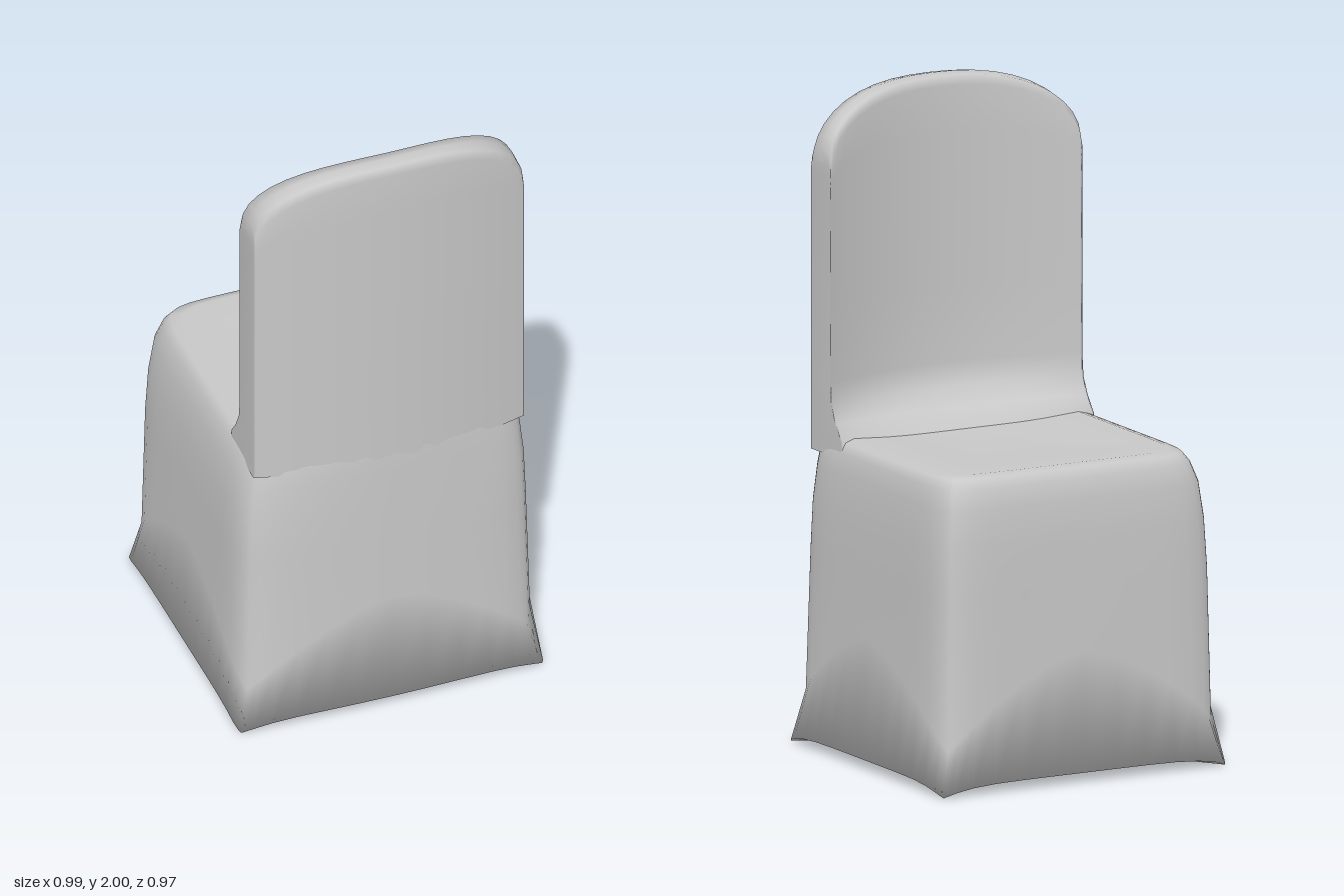
import * as THREE from 'three';
import { mergeVertices } from 'three/addons/utils/BufferGeometryUtils.js';

const lerp = THREE.MathUtils.lerp;

// Skins closed rings (counter-clockwise seen from above, bottom to top) and fans the optional end points.
function loft(rings, bottom, top) {
  const n = rings[0].length, pos = rings.flat(2), idx = [];
  for (let r = 0; r < rings.length - 1; r++) {
    for (let i = 0; i < n; i++) {
      const a = r * n + i, b = r * n + (i + 1) % n;
      idx.push(a, b, b + n, a, b + n, a + n);
    }
  }
  const fan = (point, start, up) => {
    const c = pos.length / 3;
    pos.push(...point);
    for (let i = 0; i < n; i++) {
      const a = start + i, b = start + (i + 1) % n;
      if (up) idx.push(a, b, c); else idx.push(b, a, c);
    }
  };
  if (bottom) fan(bottom, 0, false);
  if (top) fan(top, (rings.length - 1) * n, true);
  let geo = new THREE.BufferGeometry();
  geo.setAttribute('position', new THREE.Float32BufferAttribute(pos, 3));
  geo.setIndex(idx);
  geo = mergeVertices(geo, 1e-4);
  geo.computeVertexNormals();
  return geo;
}

// Unit square outline, denser towards the corners.
function squareOutline(perSide) {
  const pts = [];
  for (let side = 0; side < 4; side++) {
    for (let i = 0; i < perSide; i++) {
      const s = Math.sin((i / perSide - 0.5) * Math.PI);
      pts.push([[s, 1], [1, -s], [-s, -1], [-1, s]][side]);
    }
  }
  return pts;
}

// Draped seat and skirt: rounded-square rings, corners of the hem touching the floor.
function skirtGeometry() {
  const outline = squareOutline(14);
  // y, half width, x shift, rear z, front z, corner sharpness, bow of the +z face, corner drop
  const rows = [
    [0.03, 0.493, 0, -0.484, 0.486, 30, 0.02, 0.03],
    [0.40, 0.478, 0, -0.472, 0.477, 11, 0.03, 0.27],
    [0.60, 0.472, 0, -0.465, 0.472, 10, 0.04, 0],
    [0.75, 0.466, 0.002, -0.459, 0.468, 10, 0.045, 0],
    [0.86, 0.453, 0.005, -0.452, 0.465, 10, 0.055, 0],
    [0.92, 0.437, 0.01, -0.436, 0.463, 10, 0.06, 0],
    [0.95, 0.418, 0.012, -0.418, 0.460, 10, 0.06, 0],
    [0.958, 0.385, 0.012, -0.39, 0.42, 10, 0.05, 0],
    [0.952, 0.28, 0.012, -0.27, 0.30, 8, 0, 0],
    [0.947, 0.12, 0.012, -0.12, 0.15, 6, 0, 0],
  ];
  const rings = rows.map(([y, hw, dx, z0, z1, sharp, bow, drop], r) => outline.map(([a, b]) => {
    const k = Math.pow(Math.abs(a) ** sharp + Math.abs(b) ** sharp, -1 / sharp);
    const u = a * k, v = b * k;
    const corner = Math.abs(a * b) ** (r === 0 ? 6 : 1.5);
    const z = lerp(z0, z1, (v + 1) / 2) - (v > 0 ? bow * u * u * v : 0);
    return [u * hw + dx, y - drop * corner, z];
  }));
  return loft(rings, [0, 0.03, 0], [0.012, 0.946, 0.015]);
}

// Curved backrest with an arched top, flowing into the seat through a sloped fillet.
function backrestGeometry() {
  const cols = 20, us = [];
  for (let i = 0; i <= cols; i++) us.push(Math.sin((i / cols - 0.5) * Math.PI));
  const arch = u => 1.79 + 0.21 * Math.sqrt(Math.max(0, 1 - Math.abs(u) ** 2.5));
  const ring = (yOf, fillet, thick) => {
    const point = (u, outer) => {
      const zOut = 0.463 - 0.062 * u * u;
      const zIn = lerp(0.215, 0.378 - 0.092 * u * u, fillet);
      const mid = (zOut + zIn) / 2;
      return [0.012 + 0.433 * u, yOf(u), lerp(mid, outer ? zOut : zIn, thick)];
    };
    return [...us.map(u => point(u, true)), ...[...us].reverse().map(u => point(u, false))];
  };
  const rings = [[0.9, 0], [0.95, 0.02], [1.0, 0.55], [1.05, 0.9], [1.12, 1], [1.35, 1], [1.65, 1]]
    .map(([y, fillet]) => ring(() => y, fillet, 1));
  rings.push(ring(u => lerp(1.65, arch(u), 0.5), 1, 1));
  rings.push(ring(u => arch(u) - 0.035, 1, 1));
  rings.push(ring(u => arch(u) - 0.006, 1, 0.8));
  rings.push(ring(arch, 1, 0));
  return loft(rings);
}

export function createModel() {
  const fabric = new THREE.MeshStandardMaterial({ color: 0xc8c8c8 });
  fabric.name = 'grey fabric';
  const group = new THREE.Group();
  group.name = 'coveredChair';
  const add = (name, geometry) => {
    const mesh = new THREE.Mesh(geometry, fabric);
    mesh.name = name;
    group.add(mesh);
  };
  add('seatAndSkirt', skirtGeometry());
  add('backrest', backrestGeometry());
  return group;
}
